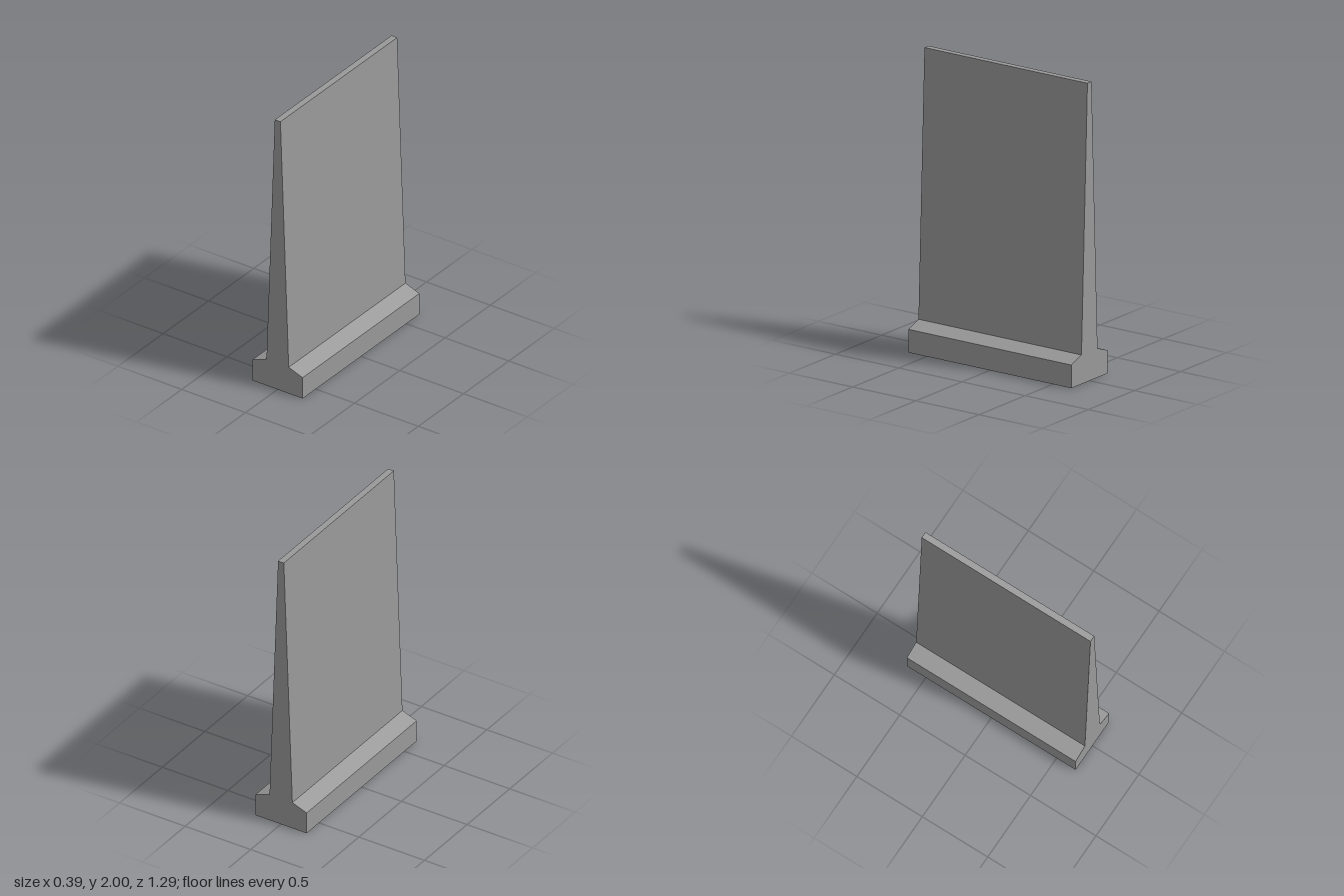
import * as THREE from 'three';

// Concrete wall segment: a tapered stem on a wide, sloped footing
export function createModel() {
  const group = new THREE.Group();
  group.name = 'wallSegment';

  const concrete = new THREE.MeshStandardMaterial({ color: 0x999999 });
  concrete.name = 'concrete grey';

  // Right half of the cross-section, bottom to top, then mirrored
  const half = [[0.196, 0], [0.196, 0.155], [0.087, 0.195], [0.022, 2]];
  const mirrored = half.map(([x, y]) => [-x, y]).reverse();
  const outline = [...half, ...mirrored].map(([x, y]) => new THREE.Vector2(x, y));

  // Extrude the section along z and centre it
  const length = 1.29;
  const geometry = new THREE.ExtrudeGeometry(new THREE.Shape(outline), {
    depth: length,
    bevelEnabled: false,
  });
  geometry.translate(0, 0, -length / 2);

  const wall = new THREE.Mesh(geometry, concrete);
  wall.name = 'wallWithFooting';
  group.add(wall);
  return group;
}
